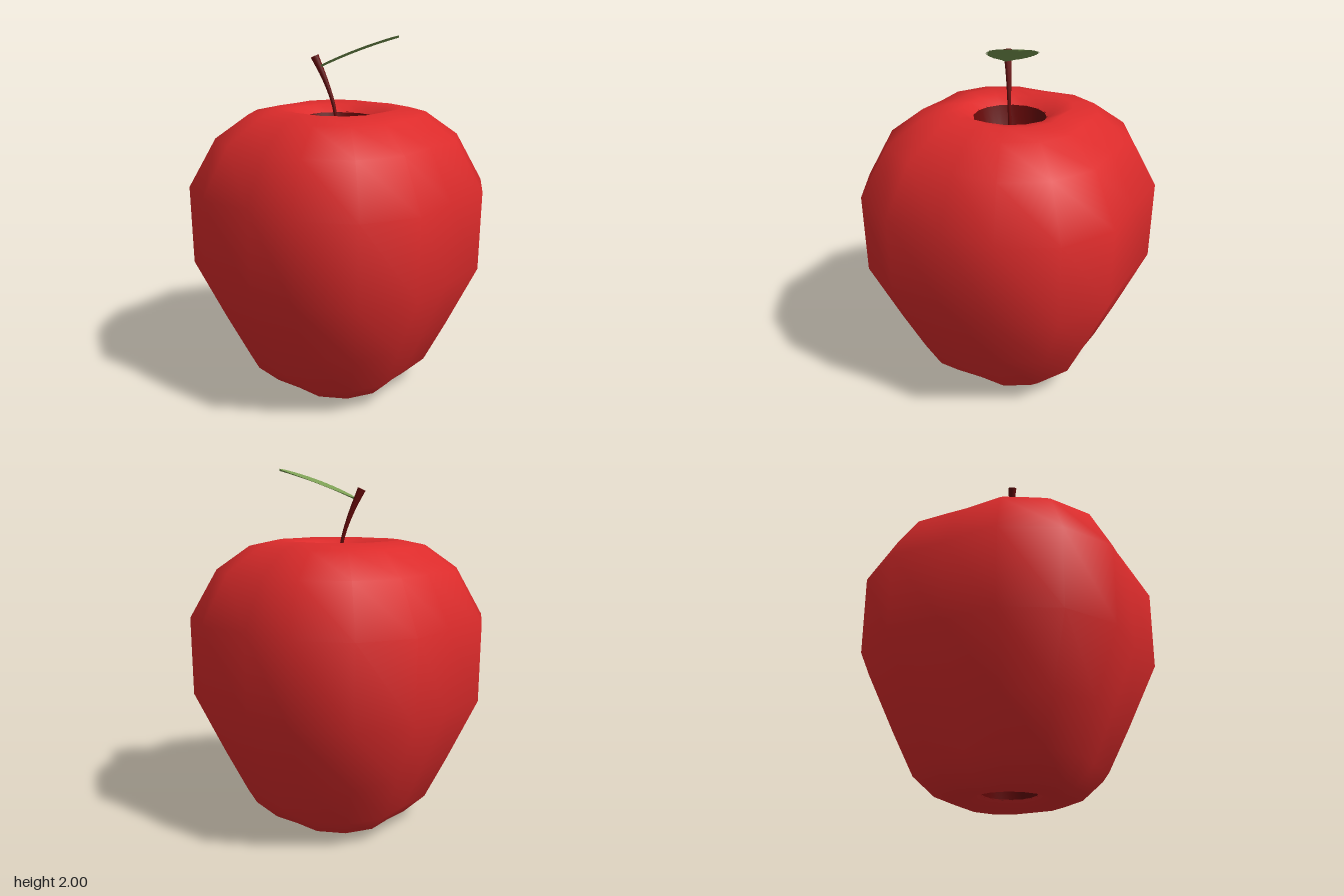
import * as THREE from 'three';
import { mergeVertices } from 'three/addons/utils/BufferGeometryUtils.js';

const skin = new THREE.MeshStandardMaterial({ name: 'red skin', color: 0xdc2b2b });
const core = new THREE.MeshStandardMaterial({ name: 'dark core', color: 0x650808 });
const green = new THREE.MeshStandardMaterial({ name: 'leaf green', color: 0x7c9e54, side: THREE.DoubleSide });

const part = (name, geometry, material) => {
  const mesh = new THREE.Mesh(geometry, material);
  mesh.name = name;
  return mesh;
};

// Revolve [radius, y] pairs; outer rings are pushed into four twisted lobes
const lobes = [1, 1.03, 1, 0.907];
function revolve(profile, lobed) {
  let geo = new THREE.LatheGeometry(profile.map(([r, y]) => new THREE.Vector2(r, y)), lobed ? 16 : 32);
  const p = geo.attributes.position;
  if (lobed) {
    for (let i = 0; i < p.count; i++) {
      const x = p.getX(i), z = p.getZ(i);
      const k = (Math.round(Math.atan2(z, x) / (Math.PI / 8)) + 16) % 4;
      const blend = THREE.MathUtils.smoothstep(Math.hypot(x, z), 0.2, 0.34);
      const f = 1 + (lobes[k] - 1) * blend;
      p.setX(i, x * f);
      p.setZ(i, z * f);
    }
  }
  geo.deleteAttribute('uv');
  geo.deleteAttribute('normal');
  geo = mergeVertices(geo, 1e-4);
  geo.computeVertexNormals();
  return geo;
}

// Curved stem, thicker toward its top
function makeStem() {
  const group = new THREE.Group();
  group.name = 'stem';
  const curve = new THREE.CatmullRomCurve3([
    new THREE.Vector3(0, 1.15, 0), new THREE.Vector3(0, 1.4, 0), new THREE.Vector3(-0.02, 1.61, -0.012),
    new THREE.Vector3(-0.06, 1.76, -0.04), new THREE.Vector3(-0.108, 1.888, -0.072)]);
  const rows = 16, sides = 8;
  const geo = new THREE.TubeGeometry(curve, rows, 1, sides);
  const p = geo.attributes.position, v = new THREE.Vector3();
  for (let i = 0; i < p.count; i++) {
    const t = Math.floor(i / (sides + 1)) / rows;
    const c = curve.getPointAt(t);
    v.fromBufferAttribute(p, i).sub(c).multiplyScalar(0.008 + 0.016 * t ** 4).add(c);
    p.setXYZ(i, v.x, v.y, v.z);
  }
  const cap = part('stemTip', new THREE.CircleGeometry(0.024, sides), core);
  const end = curve.getPointAt(1);
  cap.position.copy(end);
  cap.lookAt(end.add(curve.getTangentAt(1)));
  group.add(part('stemStalk', geo, core), cap);
  return group;
}

// Arched, broad leaf with a serrated edge
function makeLeaf() {
  const spine = new THREE.QuadraticBezierCurve3(
    new THREE.Vector3(-0.085, 1.84, -0.045), new THREE.Vector3(0.09, 1.935, 0.055), new THREE.Vector3(0.275, 1.998, 0.175));
  const rows = 24;
  const geo = new THREE.PlaneGeometry(1, 1, 4, rows);
  const p = geo.attributes.position;
  for (let i = 0; i < p.count; i++) {
    const s = p.getX(i) * 2, t = THREE.MathUtils.clamp(p.getY(i) + 0.5, 0, 1);
    const c = spine.getPoint(t);
    let w = 0.136 * Math.sin(Math.PI * t) ** 0.42;
    if (Math.abs(s) > 0.9 && Math.round(t * rows) % 2) w *= 0.92;
    p.setXYZ(i, c.x - 0.54 * w * s, c.y + 0.06 * w * s - 0.012 * (1 - Math.abs(s)), c.z + 0.84 * w * s);
  }
  geo.computeVertexNormals();
  return part('leaf', geo, green);
}

export function createModel() {
  const model = new THREE.Group();
  model.name = 'apple';

  // Body, from the lower hollow around the outside to the upper hollow
  model.add(part('body', revolve([
    [0.15, 0.05], [0.21, 0.015], [0.3, 0], [0.4, 0.04], [0.52, 0.15], [0.64, 0.39], [0.805, 0.74],
    [0.81, 1.18], [0.66, 1.45], [0.48, 1.58], [0.34, 1.61], [0.26, 1.595], [0.2, 1.555]], true), skin));

  // Dark hollows at both ends
  model.add(part('topHollow', revolve([[0.203, 1.558], [0.17, 1.42], [0.1, 1.26], [0, 1.17]], false), core));
  model.add(part('bottomHollow', revolve([[0, 0.38], [0.08, 0.32], [0.125, 0.2], [0.153, 0.047]], false), core));

  model.add(makeStem(), makeLeaf());
  return model;
}
